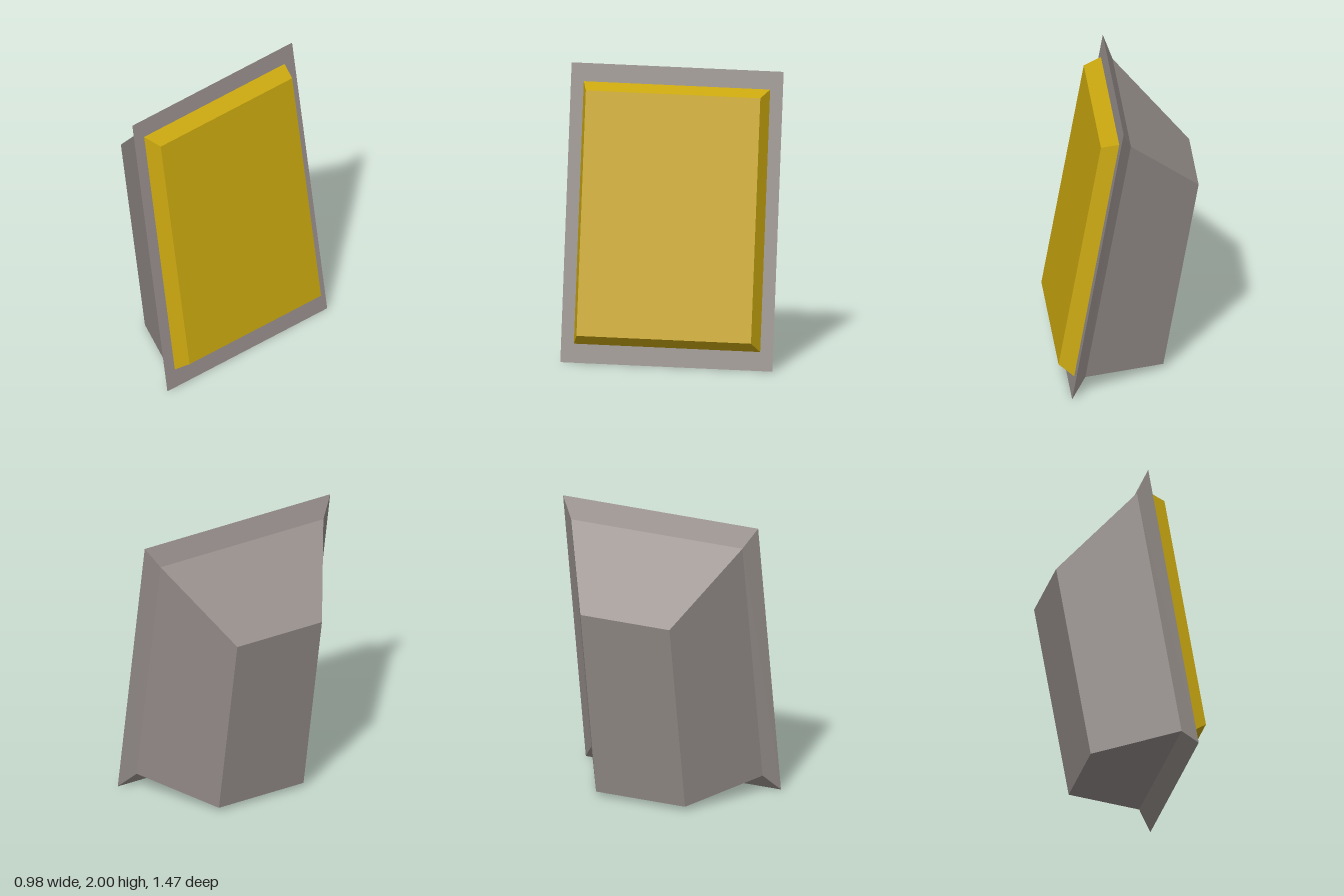
import * as THREE from 'three';

// Four corners of a tilted rectangle, counter-clockwise seen from +x
function ring([topX, topY, bottomX, bottomY, halfZ]) {
  return [
    [topX, topY, halfZ],
    [bottomX, bottomY, halfZ],
    [bottomX, bottomY, -halfZ],
    [topX, topY, -halfZ],
  ];
}

// Closed faceted solid through rectangles listed from back (-x) to front (+x)
function loft(name, sections, material) {
  const rings = sections.map(ring);
  const positions = [];
  const quad = (a, b, c, d) => positions.push(...a, ...b, ...c, ...a, ...c, ...d);

  for (let i = 0; i < rings.length - 1; i++) {
    for (let j = 0; j < 4; j++) {
      const k = (j + 1) % 4;
      quad(rings[i][j], rings[i][k], rings[i + 1][k], rings[i + 1][j]);
    }
  }
  quad(...[...rings[0]].reverse());
  quad(...rings[rings.length - 1]);

  const geometry = new THREE.BufferGeometry();
  geometry.setAttribute('position', new THREE.Float32BufferAttribute(positions, 3));
  geometry.computeVertexNormals();
  const mesh = new THREE.Mesh(geometry, material);
  mesh.name = name;
  return mesh;
}

export function createModel() {
  const grey = new THREE.MeshStandardMaterial({ color: 0x958d8a });
  grey.name = 'warm grey housing';
  const yellow = new THREE.MeshStandardMaterial({ color: 0xc9a70f });
  yellow.name = 'amber panel';

  const group = new THREE.Group();
  group.name = 'tiltedPanel';

  // Tapered housing flaring out to a sharp rim
  group.add(loft('housing', [
    [-0.49, 1.385, -0.25, 0.03, 0.335],
    [0.0, 1.86, 0.31, 0.118, 0.645],
    [0.058, 2.0, 0.408, 0.0, 0.735],
  ], grey));

  // Bevelled panel raised from the rim, its base sunk slightly into it
  group.add(loft('raisedPanel', [
    [0.073, 1.88, 0.38, 0.123, 0.648],
    [0.2, 1.84, 0.488, 0.203, 0.605],
  ], yellow));

  return group;
}
